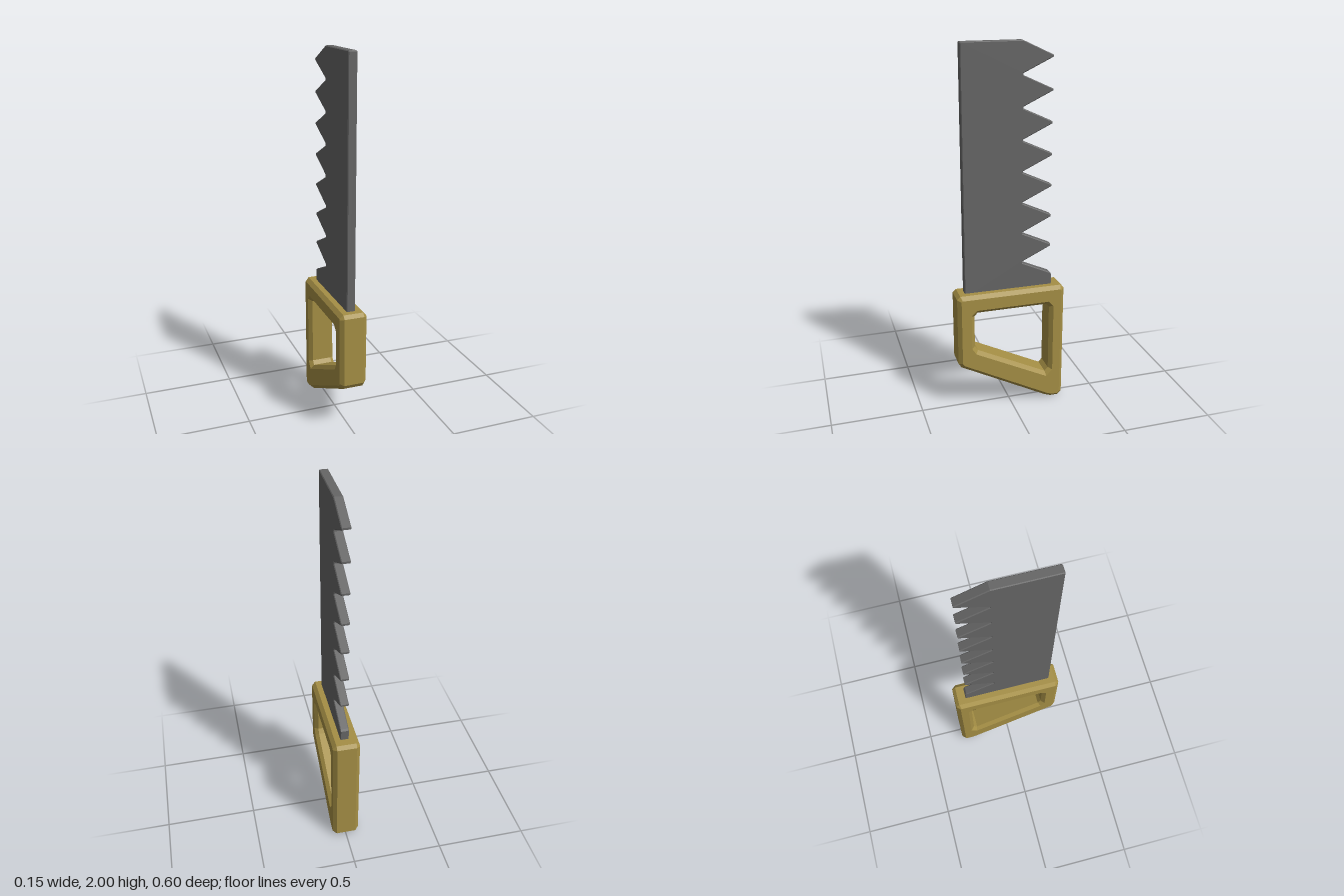
import * as THREE from 'three';

// Extrude a side outline given as [z, y] points, centred on x = 0, with a chamfer inside the outline
function slab(name, outline, width, chamfer, color, hole) {
  const toPoints = (list) => list.map(([z, y]) => new THREE.Vector2(z, y));
  const shape = new THREE.Shape(toPoints(outline));
  if (hole) shape.holes.push(new THREE.Path(toPoints(hole)));
  const depth = width - 2 * chamfer;
  const geometry = new THREE.ExtrudeGeometry(shape, {
    depth,
    bevelEnabled: true,
    bevelSegments: 1,
    bevelSize: chamfer,
    bevelThickness: chamfer,
    bevelOffset: -chamfer,
  });
  geometry.translate(0, 0, -depth / 2);
  geometry.rotateY(-Math.PI / 2);
  const mesh = new THREE.Mesh(geometry, new THREE.MeshStandardMaterial({ color, flatShading: true }));
  mesh.name = name;
  return mesh;
}

export function createModel() {
  const group = new THREE.Group();
  group.name = 'handSaw';

  // Handle: chamfered frame with a slanted lower bar and a grip opening
  const frame = [
    [0.282, 0.69], [-0.282, 0.69], [-0.3, 0.672], [-0.3, 0.022], [-0.28, 0],
    [-0.235, 0], [-0.2, 0.012], [0.285, 0.268], [0.3, 0.292], [0.3, 0.672],
  ];
  const opening = [
    [0.188, 0.585], [-0.2, 0.585], [-0.217, 0.567], [-0.217, 0.187],
    [-0.198, 0.166], [0.19, 0.36], [0.207, 0.387], [0.207, 0.567],
  ];
  group.add(slab('handle', frame, 0.148, 0.02, 0xa58f45, opening));

  // Blade: straight back, seven teeth along the cutting edge
  const pitch = 0.167;
  const blade = [[-0.235, 0.66], [0.25, 0.66], [0.25, 1.995], [0.245, 2], [-0.07, 2]];
  for (let i = 0; i < 7; i++) {
    const tip = 1.92 - i * pitch;
    blade.push([-0.23, tip + 0.005], [-0.23, tip - 0.005]);
    blade.push([-0.072, tip - 0.08], [-0.072, tip - 0.089]);
  }
  blade.push([-0.23, 0.757], [-0.238, 0.747], [-0.238, 0.66]);
  blade.shift();
  group.add(slab('blade', blade, 0.046, 0.004, 0x666666));

  return group;
}
